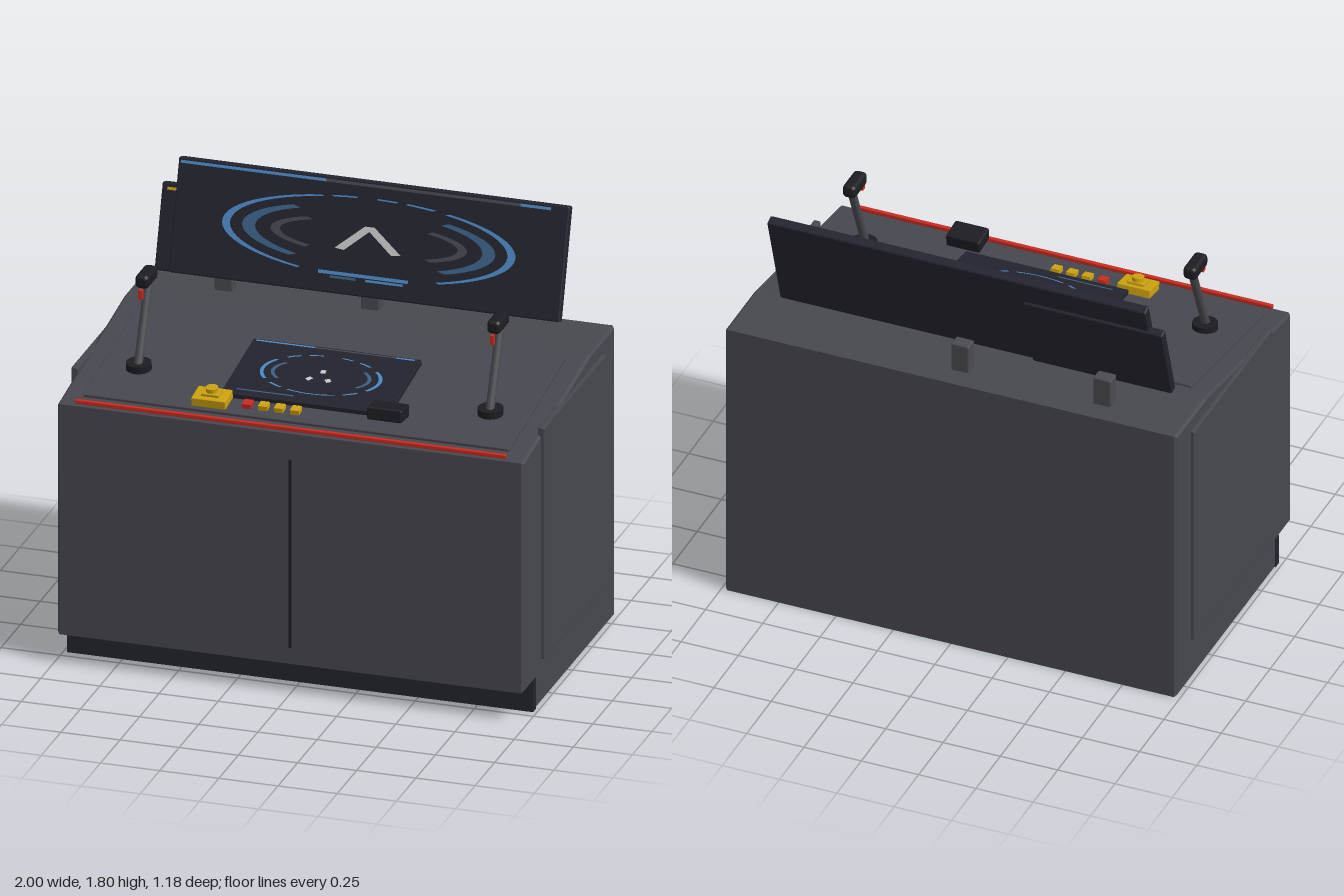
import * as THREE from 'three';
import { RoundedBoxGeometry } from 'three/addons/geometries/RoundedBoxGeometry.js';

const mat = (name, color, side = THREE.FrontSide) => {
  const m = new THREE.MeshStandardMaterial({ color, side });
  m.name = name;
  return m;
};

export function createModel() {
  const M = {
    body: mat('charcoal', 0x47474f),
    dark: mat('midnight', 0x23232e),
    black: mat('black', 0x1c1c22),
    metal: mat('steel grey', 0x4a4a50),
    red: mat('red', 0xcc2a1e),
    yellow: mat('yellow', 0xcca210),
    blue: mat('bright blue', 0x4a88c4, THREE.DoubleSide),
    midBlue: mat('dim blue', 0x3a5f85, THREE.DoubleSide),
    slate: mat('slate', 0x464853, THREE.DoubleSide),
    white: mat('pale grey', 0xc8c8c8, THREE.DoubleSide),
  };
  const root = new THREE.Group();
  root.name = 'controlConsole';

  const add = (parent, name, geo, material, x = 0, y = 0, z = 0, rx = 0) => {
    const m = new THREE.Mesh(geo, material);
    m.name = name;
    m.position.set(x, y, z);
    m.rotation.x = rx;
    parent.add(m);
    return m;
  };
  const box = (w, h, d) => new THREE.BoxGeometry(w, h, d);
  const rbox = (w, h, d, r = 0.008) => new RoundedBoxGeometry(w, h, d, 1, r);

  // Sloping worktop: height at a given z, and placing parts on it
  const TILT = 0.148;
  const deckY = z => 1.133 + (0.586 - z) * 0.149;
  const onDeck = (name, geo, material, x, z, h) =>
    add(root, name, geo, material, x, deckY(z) + h, z, TILT);

  // Cabinet: side profile [z, y] extruded across the width
  const profile = [[0.43, 0], [0.43, 0.13], [0.586, 0.13], [0.586, 1.133],
    [-0.28, 1.262], [-0.588, 1.262], [-0.588, 0]];
  const cabinet = new THREE.ExtrudeGeometry(
    new THREE.Shape(profile.map(([z, y]) => new THREE.Vector2(-z, y))),
    { depth: 1.95, bevelEnabled: true, bevelThickness: 0.01, bevelSize: 0.01, bevelOffset: -0.01, bevelSegments: 1 });
  cabinet.translate(0, 0, -0.975).rotateY(Math.PI / 2);
  add(root, 'cabinet', cabinet, M.body);
  add(root, 'toeKick', box(1.97, 0.135, 0.035), M.dark, 0, 0.0675, 0.4435);
  add(root, 'doorSeam', box(0.01, 0.82, 0.01), M.black, 0, 0.61, 0.586);
  for (const s of [-1, 1])
    add(root, 'sidePanel', rbox(0.03, 1.01, 0.8, 0.006), M.body, s * 0.985, 0.695, -0.04);

  // Worktop parts
  onDeck('worktopPanel', rbox(1.8, 0.02, 0.75, 0.004), M.body, 0, 0.14, 0.002);
  add(root, 'redTrim', rbox(1.82, 0.018, 0.018, 0.004), M.red, 0, 1.15, 0.574);
  onDeck('stopButtonBase', rbox(0.145, 0.038, 0.1, 0.004), M.yellow, -0.375, 0.45, 0.032);
  onDeck('stopButtonCollar', rbox(0.075, 0.016, 0.06, 0.004), M.yellow, -0.375, 0.45, 0.055);
  onDeck('stopButton', new THREE.CylinderGeometry(0.025, 0.025, 0.024, 20), M.yellow, -0.375, 0.45, 0.068);
  [-0.225, -0.157, -0.09, -0.022].forEach((x, i) =>
    onDeck('pushButton', box(0.038, 0.025, 0.042), i ? M.yellow : M.red, x, 0.445, 0.02));
  add(root, 'blackControlBox', rbox(0.148, 0.055, 0.105), M.black, 0.37, 1.225, 0.453, -0.1);

  // Levers, mirrored
  for (const s of [-1, 1]) {
    const lever = new THREE.Group();
    lever.name = 'lever';
    lever.position.x = s * 0.743;
    root.add(lever);
    add(lever, 'leverBase', new THREE.CylinderGeometry(0.052, 0.052, 0.03, 24), M.black, 0, 1.206, 0.272, 0.06);
    const len = Math.hypot(0.13, 0.31);
    add(lever, 'leverRod', new THREE.CylinderGeometry(0.018, 0.018, len, 16), M.metal,
      0, 1.365, 0.215, -Math.atan2(0.13, 0.31));
    add(lever, 'leverGrip', new RoundedBoxGeometry(0.058, 0.058, 0.136, 2, 0.018), M.black, 0, 1.553, 0.174);
    add(lever, 'trigger', box(0.016, 0.04, 0.02), M.red, 0, 1.505, 0.247);
  }

  // Flat display graphics, drawn in the screen's own x/y plane
  const flat = (g, name, shape, material, z) => add(g, name, new THREE.ShapeGeometry(shape), material, 0, 0, z);
  const arc = (g, [rx, ry, tx, ty], from, to, material, z) => {
    const pts = [];
    const n = Math.max(3, Math.ceil((to - from) / 6));
    const put = (i, a, b) => {
      const t = THREE.MathUtils.degToRad(from + (to - from) * i / n);
      pts.push(new THREE.Vector2(a * Math.cos(t), b * Math.sin(t)));
    };
    for (let i = 0; i <= n; i++) put(i, rx, ry);
    for (let i = n; i >= 0; i--) put(i, rx - tx, ry - ty);
    flat(g, 'ringArc', new THREE.Shape(pts), material, z);
  };
  const bar = (g, x0, x1, y, h, material, z) =>
    add(g, 'statusBar', new THREE.PlaneGeometry(x1 - x0, h), material, (x0 + x1) / 2, y, z);

  // Main monitor, leaning back
  const monitor = new THREE.Group();
  monitor.name = 'monitor';
  monitor.position.set(0, 1.567, -0.444);
  monitor.rotation.x = -0.298;
  root.add(monitor);
  add(monitor, 'monitorCase', rbox(1.652, 0.47, 0.044), M.dark);
  const zf = 0.025;
  const outer = [0.62, 0.167, 0.034, 0.006];
  for (const [a, b] of [[-60, 58], [64, 76], [80, 88], [96, 106], [110, 242]])
    arc(monitor, outer, a, b, M.blue, zf);
  for (const c of [0, 180]) {
    arc(monitor, [0.535, 0.13, 0.055, 0.012], c - 52, c + 52, M.midBlue, zf);
    arc(monitor, [0.415, 0.08, 0.04, 0.012], c - 50, c + 50, M.slate, zf);
  }
  bar(monitor, -0.2, 0.18, -0.152, 0.014, M.blue, zf);
  bar(monitor, -0.15, -0.04, -0.168, 0.01, M.midBlue, zf);
  bar(monitor, 0.0, 0.16, -0.168, 0.01, M.blue, zf);
  bar(monitor, -0.815, -0.2, 0.217, 0.012, M.blue, zf);
  bar(monitor, -0.2, 0.62, 0.217, 0.012, M.slate, zf);
  bar(monitor, 0.62, 0.75, 0.217, 0.012, M.blue, zf);
  const chevron = [[-0.14, -0.05], [-0.02, 0.05], [0.02, 0.05], [0.14, -0.05], [0.1, -0.055], [0, 0.03], [-0.1, -0.055]];
  flat(monitor, 'chevron', new THREE.Shape(chevron.map(p => new THREE.Vector2(...p))), M.white, zf);

  // Smaller side display tucked behind the monitor
  add(monitor, 'sideDisplay', rbox(0.61, 0.36, 0.04), M.dark, -0.585, -0.055, -0.014);
  add(monitor, 'sideDisplayMark', new THREE.PlaneGeometry(0.04, 0.012), M.yellow, -0.846, 0.1, 0.008);

  // Monitor posts
  for (const x of [-0.62, 0])
    add(root, 'monitorPost', rbox(0.08, 0.14, 0.06), M.metal, x, 1.318, -0.465);

  // Worktop touch screen
  const desk = new THREE.Group();
  desk.name = 'deskScreen';
  desk.position.set(0, deckY(0.187) + 0.021, 0.187);
  desk.rotation.x = TILT - Math.PI / 2;
  root.add(desk);
  add(desk, 'deskScreenCase', rbox(0.71, 0.432, 0.024, 0.004), M.dark);
  const zd = 0.0145;
  const ring = [0.255, 0.15, 0.016, 0.006];
  for (const [a, b] of [[-30, 32], [45, 60], [68, 80], [98, 112], [120, 135], [148, 210], [222, 238], [246, 294], [302, 318]])
    arc(desk, ring, a, b, M.blue, zd);
  for (const c of [0, 180])
    arc(desk, [0.21, 0.11, 0.016, 0.006], c - 35, c + 35, M.midBlue, zd);
  bar(desk, -0.34, -0.09, 0.2, 0.01, M.blue, zd);
  bar(desk, -0.09, 0.25, 0.2, 0.008, M.slate, zd);
  bar(desk, 0.25, 0.33, 0.2, 0.01, M.blue, zd);
  bar(desk, -0.3, -0.06, -0.178, 0.008, M.midBlue, zd);
  for (const [x, y, r] of [[0, 0.028, 0], [-0.04, -0.034, -0.6], [0.04, -0.034, 0.6]])
    add(desk, 'cursorMark', new THREE.PlaneGeometry(0.022, 0.026), M.white, x, y, zd).rotation.z = r;

  return root;
}
